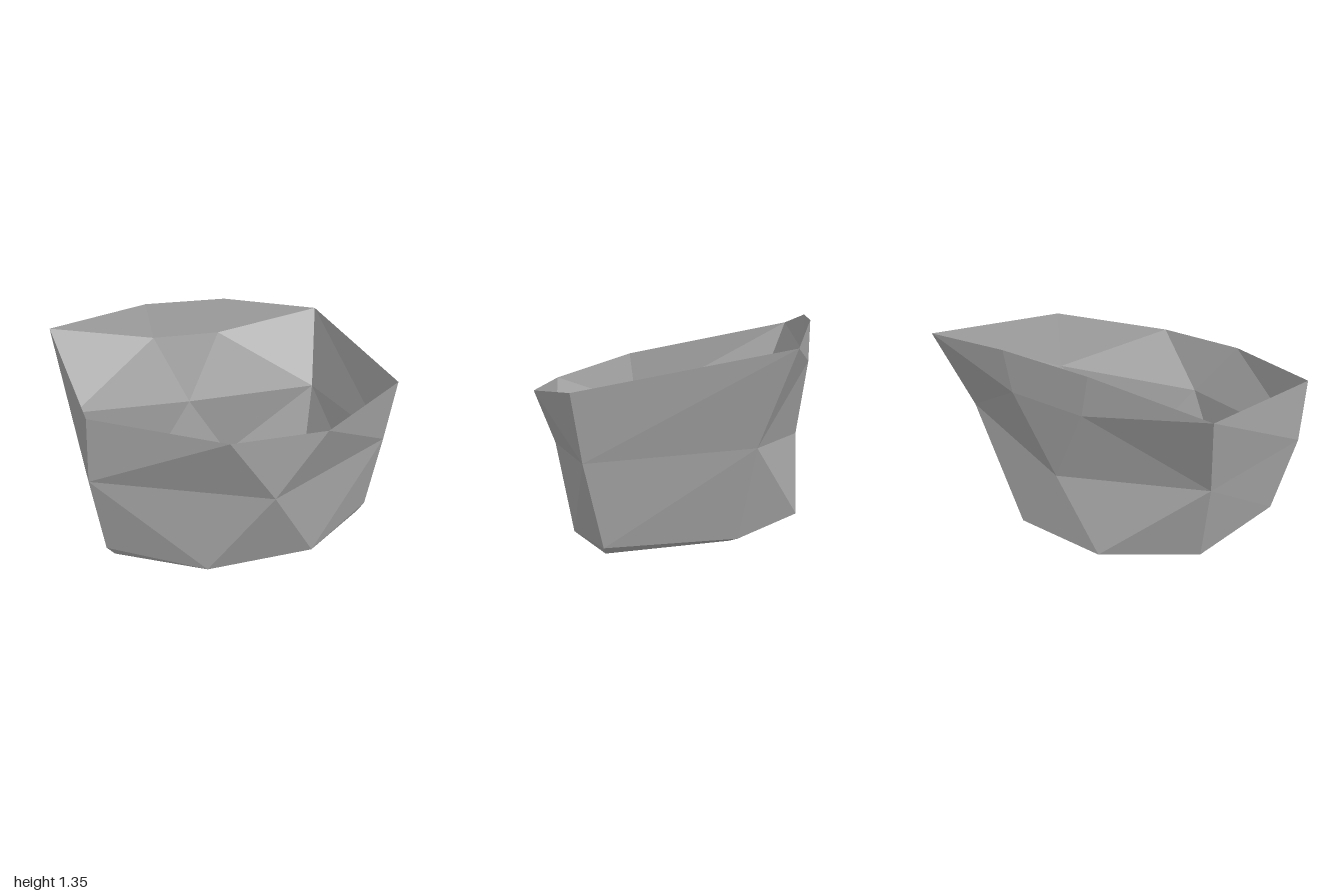
import * as THREE from 'three';

const shellGrey = new THREE.MeshStandardMaterial({ color: 0xa8a8a8, side: THREE.DoubleSide });
shellGrey.name = 'shell grey';

// Corner points of one half of the shell; s = 1 is the left half, -1 the right
const corners = (s) => ({
  rimFront: [0.3 * s, 0.9, 0.85],
  rimSide: [s, 1.0, 0.45],
  rimRear: [s, 1.25, -0.75],
  rimBack: [0.3 * s, 1.35, -0.85],
  upperBack: [0.25 * s, 1.1, -0.85],
  midSide: [s > 0 ? 0.95 : -1, 0.6, 0.4],
  midRear: [0.9 * s, 0.7, -0.55],
  lowFront: [0.35 * s, 0, 0.6],
  lowSide: [0.9 * s, 0.1, 0.3],
  lowRear: [0.8 * s, 0.15, -0.45],
  lowBack: [0.3 * s, 0.15, -0.8],
  lipSide: [0.85 * s, 0.05, 0.3],
  lipRear: [0.7 * s, 0.1, -0.4],
  lipBack: [0.3 * s, 0.1, -0.7],
});
const midFront = [0, 0.5, 0.8];
const midBack = [0, 0.6, -0.8];

// Flat-faced mesh from triangles and quads, each turned to face outwards
function panel(name, faces) {
  const core = new THREE.Vector3(0, 0.6, 0);
  const positions = [];
  for (const face of faces) {
    for (let i = 1; i < face.length - 1; i++) {
      const [a, b, c] = [face[0], face[i], face[i + 1]].map((p) => new THREE.Vector3(...p));
      const tri = new THREE.Triangle(a, b, c);
      const outward = tri.getMidpoint(new THREE.Vector3()).sub(core);
      const order = tri.getNormal(new THREE.Vector3()).dot(outward) > 0 ? [a, b, c] : [a, c, b];
      order.forEach((p) => positions.push(p.x, p.y, p.z));
    }
  }
  const geometry = new THREE.BufferGeometry();
  geometry.setAttribute('position', new THREE.Float32BufferAttribute(positions, 3));
  geometry.computeVertexNormals();
  const mesh = new THREE.Mesh(geometry, shellGrey);
  mesh.name = name;
  return mesh;
}

export function createModel() {
  const model = new THREE.Group();
  model.name = 'openShell';
  const L = corners(1);
  const R = corners(-1);

  for (const [side, p] of [['left', L], ['right', R]]) {
    // Faceted front corner
    model.add(panel(`${side}FrontWall`, [
      [p.rimFront, p.rimSide, p.midSide],
      [p.rimFront, p.midSide, midFront],
      [midFront, p.midSide, p.lowFront],
      [p.midSide, p.lowSide, p.lowFront],
    ]));
    // Side wall
    model.add(panel(`${side}SideWall`, [
      [p.rimSide, p.rimRear, p.midSide],
      [p.rimRear, p.midRear, p.midSide],
      [p.midSide, p.midRear, p.lowSide],
      [p.midRear, p.lowRear, p.lowSide],
    ]));
    // Faceted back corner
    model.add(panel(`${side}BackWall`, [
      [p.rimRear, p.rimBack, p.upperBack],
      [p.rimRear, p.upperBack, p.midRear],
      [p.upperBack, midBack, p.midRear],
      [p.midRear, midBack, p.lowBack],
      [p.midRear, p.lowBack, p.lowRear],
    ]));
    // Turned-in lip around the bottom opening
    model.add(panel(`${side}BottomLip`, [
      [p.lowFront, p.lowSide, p.lipSide],
      [p.lowSide, p.lowRear, p.lipRear, p.lipSide],
      [p.lowRear, p.lowBack, p.lipBack, p.lipRear],
    ]));
  }

  // Centre strips joining the two halves
  model.add(panel('frontCentre', [
    [L.rimFront, R.rimFront, midFront],
    [midFront, L.lowFront, R.lowFront],
  ]));
  model.add(panel('backCentre', [
    [L.rimBack, R.rimBack, R.upperBack, L.upperBack],
    [L.upperBack, R.upperBack, midBack],
    [midBack, L.lowBack, R.lowBack],
  ]));
  model.add(panel('backLip', [[L.lowBack, R.lowBack, R.lipBack, L.lipBack]]));

  return model;
}
